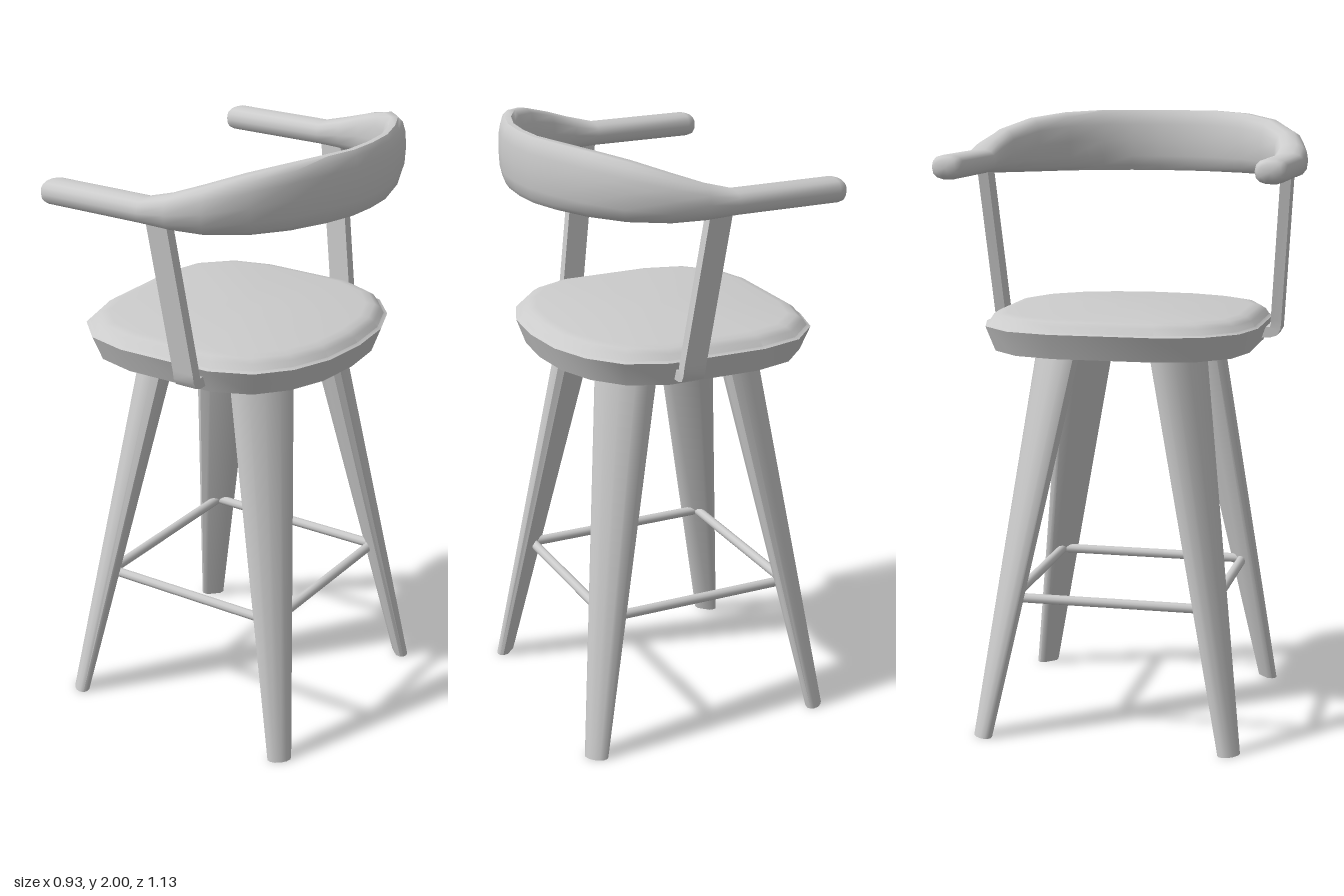
import * as THREE from 'three';
import { toCreasedNormals } from 'three/addons/utils/BufferGeometryUtils.js';

const V = (x, y, z) => new THREE.Vector3(x, y, z);
const material = new THREE.MeshStandardMaterial({ color: 0xcccccc });

// Skin a closed solid over equal-length rings of points, with both ends capped.
function loft(rings, crease) {
  const n = rings[0].length;
  const tris = [];
  for (let i = 0; i < rings.length - 1; i++) {
    for (let j = 0; j < n; j++) {
      const k = (j + 1) % n, a = rings[i], b = rings[i + 1];
      tris.push([a[j], a[k], b[k]], [a[j], b[k], b[j]]);
    }
  }
  const cap = (ring, flip) => {
    const c = ring.reduce((s, p) => s.add(p), V(0, 0, 0)).divideScalar(n);
    ring.forEach((p, j) => {
      const q = ring[(j + 1) % n];
      tris.push(flip ? [c, q, p] : [c, p, q]);
    });
  };
  cap(rings[0], true);
  cap(rings[rings.length - 1], false);
  // a negative volume means the faces point inwards
  const volume = tris.reduce((s, [a, b, c]) => s + a.dot(b.clone().cross(c)), 0);
  const points = tris.flatMap(([a, b, c]) => (volume < 0 ? [a, c, b] : [a, b, c]));
  return toCreasedNormals(new THREE.BufferGeometry().setFromPoints(points), crease);
}

function add(group, name, geometry) {
  const mesh = new THREE.Mesh(geometry, material);
  mesh.name = name;
  group.add(mesh);
  return mesh;
}

const CX = -0.0225; // centre of the seat and legs along x

function seatGeometry() {
  const half = [[0.42, 0], [0.405, 0.16], [0.355, 0.29], [0.27, 0.39], [0.14, 0.445],
    [-0.19, 0.447], [-0.33, 0.41], [-0.43, 0.31], [-0.468, 0.17]];
  const outline = [...half, ...half.slice(1).reverse().map(([x, z]) => [x, -z])];
  // [height, scale]: flared rim, then the softly rounded pad
  const levels = [[1.255, 0.935], [1.335, 1], [1.34, 0.975], [1.358, 0.95], [1.37, 0.91], [1.375, 0.85]];
  return loft(levels.map(([y, s]) => outline.map(([x, z]) => V(CX + (x - CX) * s, y, z * s))), 0.6);
}

// Splayed leg: D-shaped section, flat inside, wide across the diagonal
function legGeometry(sx, sz) {
  const half = [[1, 0], [0.87, 0.5], [0.5, 0.85], [0, 1], [-0.5, 0.95], [-1, 0.6]];
  const section = [...half, ...half.slice(1).reverse().map(([r, t]) => [r, -t])];
  const ring = (y, c, depth, width) => section.map(([r, t]) => {
    const R = r * depth * Math.SQRT1_2, T = t * width * Math.SQRT1_2;
    return V(CX + sx * (c + R + T), y, sz * (c + R - T));
  });
  return loft([ring(0, 0.409, 0.023, 0.04), ring(1.26, 0.2, 0.05, 0.105)], 0.7);
}

// Flat strap that hooks under the arm and into the side of the seat
function supportGeometry(side) {
  const w = 0.0375, t = 0.0175;
  // [x, y, z, normal y, normal z]
  const path = [[0.008, 1.83, 0.507, 0, 1], [0.076, 1.33, 0.47, 0, 1], [0.078, 1.305, 0.468, -0.2, 0.98],
    [0.078, 1.294, 0.461, -0.75, 0.7], [0.078, 1.291, 0.45, -1, 0], [0.078, 1.291, 0.41, -1, 0]];
  return loft(path.map(([x, y, z, ny, nz]) =>
    [[-w, -t], [w, -t], [w, t], [-w, t]].map(([a, b]) => V(x + a, y + ny * b, side * (z + nz * b)))), 0.6);
}

// Curved rail: round arms that rise and flatten into the backrest
function railGeometry() {
  // [x, z, half thickness, bottom, top]
  const half = [[-0.403, 0.512, 0.033, 1.815, 1.865], [-0.393, 0.512, 0.045, 1.806, 1.874],
    [-0.372, 0.512, 0.053, 1.802, 1.88], [-0.03, 0.512, 0.053, 1.802, 1.88],
    [0.06, 0.511, 0.053, 1.797, 1.905], [0.16, 0.488, 0.052, 1.793, 1.94],
    [0.265, 0.415, 0.047, 1.79, 1.975], [0.345, 0.315, 0.04, 1.79, 1.993],
    [0.4, 0.2, 0.033, 1.79, 2], [0.43, 0.1, 0.03, 1.79, 2], [0.437, 0, 0.029, 1.79, 2]];
  const path = [...half, ...half.slice(0, -1).reverse().map(([x, z, ...rest]) => [x, -z, ...rest])];
  const sides = 14;
  const soft = (v) => Math.sign(v) * Math.abs(v) ** 0.8;
  return loft(path.map(([x, z, thick, low, high], i) => {
    const p = path[Math.max(i - 1, 0)], q = path[Math.min(i + 1, path.length - 1)];
    const len = Math.hypot(q[0] - p[0], q[1] - p[1]);
    const nx = -(q[1] - p[1]) / len, nz = (q[0] - p[0]) / len;
    return Array.from({ length: sides }, (_, j) => {
      const a = (j / sides) * Math.PI * 2;
      const off = soft(Math.cos(a)) * thick;
      return V(x + nx * off, (low + high) / 2 + soft(Math.sin(a)) * (high - low) / 2, z + nz * off);
    });
  }), 0.9);
}

export function createModel() {
  const group = new THREE.Group();
  group.name = 'barStool';
  add(group, 'seat', seatGeometry());
  add(group, 'backAndArmRail', railGeometry());

  for (const side of [1, -1]) {
    add(group, 'armSupport', supportGeometry(side));
    for (const sx of [1, -1]) add(group, 'leg', legGeometry(sx, side));
  }

  // four rungs joining the legs in a square
  const reach = 0.325;
  for (const s of [1, -1]) {
    const across = add(group, 'footRung', new THREE.CylinderGeometry(0.016, 0.016, 2 * reach - 0.02, 10));
    across.rotation.z = Math.PI / 2;
    across.position.set(CX, 0.45, s * reach);
    const along = add(group, 'footRung', new THREE.CylinderGeometry(0.016, 0.016, 2 * reach - 0.02, 10));
    along.rotation.x = Math.PI / 2;
    along.position.set(CX + s * reach, 0.45, 0);
  }
  return group;
}
